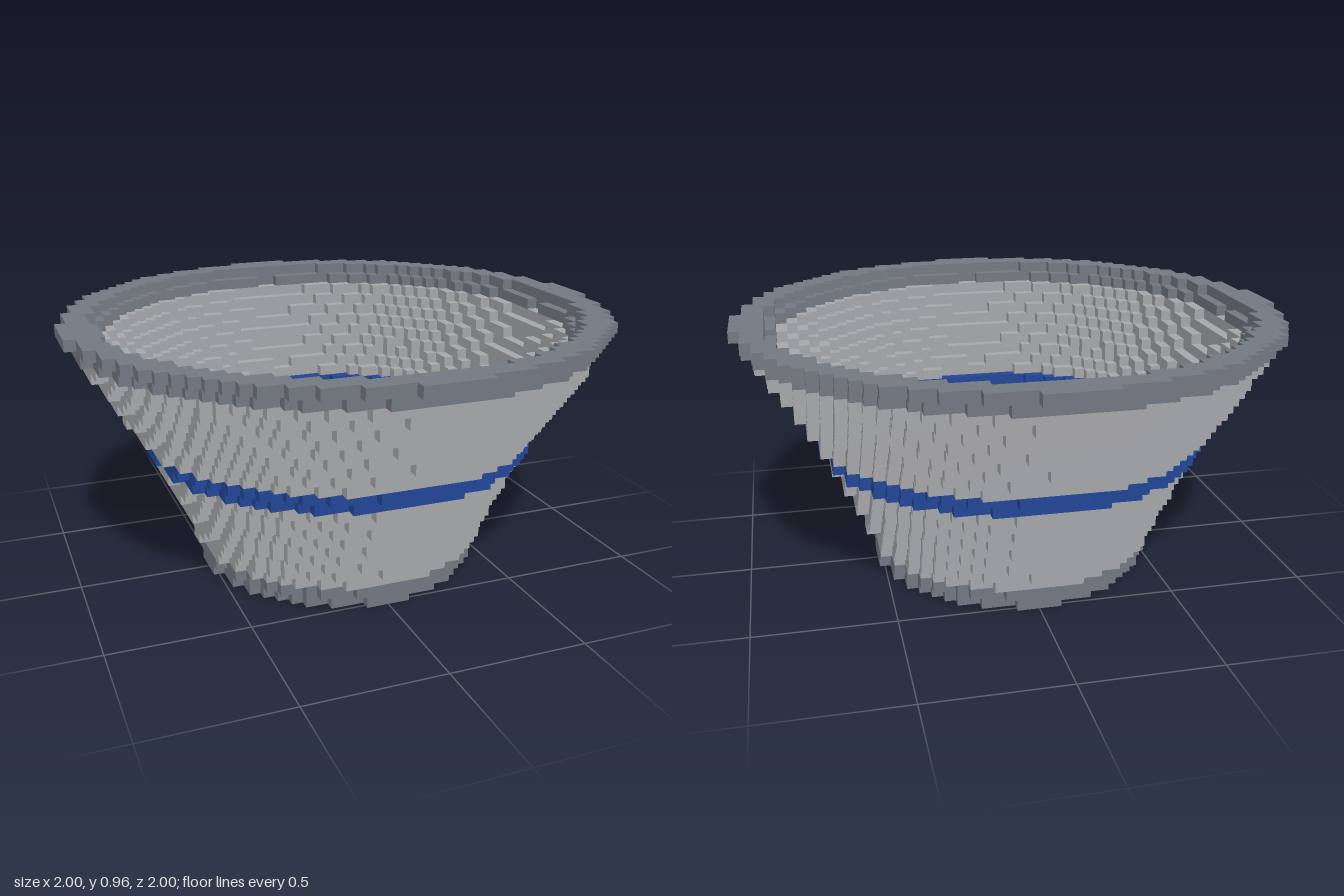
import * as THREE from 'three';
import { mergeGeometries } from 'three/addons/utils/BufferGeometryUtils.js';

const CELL = 0.04;
const LAYERS = 24;
const WALL = 2.43; // wall thickness in cells

// Inner radius of a layer in cells: a gently flaring curve
const innerRadius = (i) => 10.25 + 11.97 * Math.pow(i / (LAYERS - 1), 1.3);

// Stepped outline of a disc made of square cells
function steppedDisc(radius) {
  const halfWidth = (row) => {
    const d = radius * radius - (row + 0.5) ** 2;
    return d > 0 ? Math.floor(Math.sqrt(d) + 0.5) : 0;
  };
  const right = [];
  const n = Math.ceil(radius) + 1;
  let last = 0;
  for (let row = -n; row <= n; row++) {
    const w = halfWidth(row);
    if (w === last) continue;
    if (last) right.push([last, row]);
    if (w) right.push([w, row]);
    last = w;
  }
  const left = right.map(([x, y]) => [-x, y]).reverse();
  return [...right, ...left].map(([x, y]) => new THREE.Vector2(x * CELL, y * CELL));
}

// One layer: a stepped ring, one cell tall
function ringLayer(i) {
  const r = innerRadius(i);
  const shape = new THREE.Shape(steppedDisc(r + WALL));
  shape.holes.push(new THREE.Path(steppedDisc(r)));
  const geometry = new THREE.ExtrudeGeometry(shape, { depth: CELL, bevelEnabled: false });
  return geometry.rotateX(-Math.PI / 2).translate(0, i * CELL, 0);
}

export function createModel() {
  const material = (name, color) => {
    const m = new THREE.MeshStandardMaterial({ color });
    m.name = name;
    return m;
  };
  const lightGrey = material('lightGrey', 0xa5a6a9);
  const slate = material('slateGrey', 0x727881);
  const blue = material('blue', 0x204596);

  const model = new THREE.Group();
  model.name = 'flaredBowl';

  // Bands from the base up: name, first layer, end layer, material
  const bands = [
    ['baseRing', 0, 2, slate],
    ['lowerWall', 2, 11, lightGrey],
    ['blueStripe', 11, 13, blue],
    ['upperWall', 13, 22, lightGrey],
    ['rim', 22, LAYERS, slate],
  ];
  for (const [name, start, end, mat] of bands) {
    const layers = [];
    for (let i = start; i < end; i++) layers.push(ringLayer(i));
    const mesh = new THREE.Mesh(mergeGeometries(layers), mat);
    mesh.name = name;
    model.add(mesh);
  }
  return model;
}
